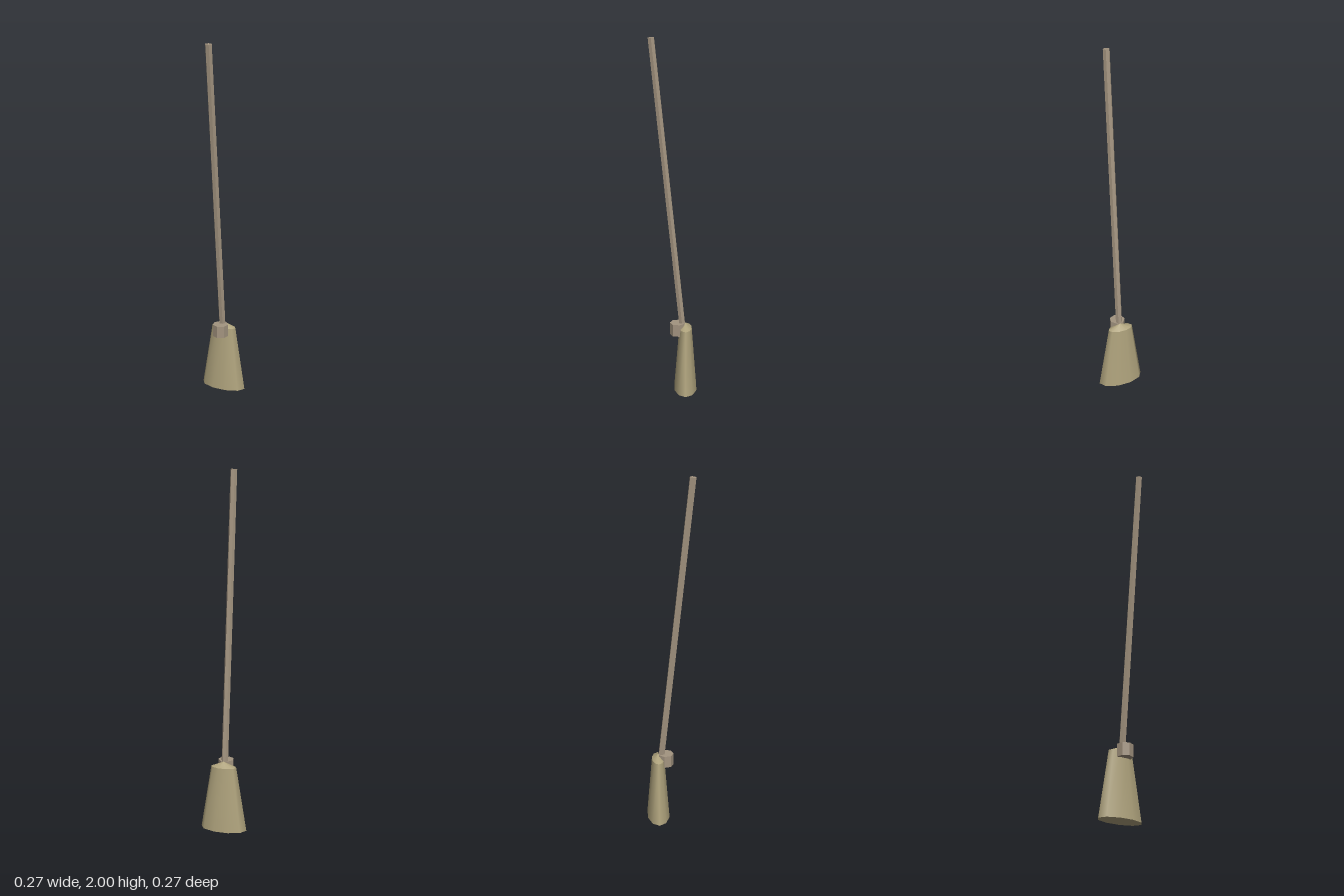
import * as THREE from 'three';

const brush = new THREE.MeshStandardMaterial({ color: 0xaea27c });
const wood = new THREE.MeshStandardMaterial({ color: 0xa39480, flatShading: true });

function part(name, geometry, material, parent) {
  const mesh = new THREE.Mesh(geometry, material);
  mesh.name = name;
  parent.add(mesh);
  return mesh;
}

export function createModel() {
  const model = new THREE.Group();
  model.name = 'broom';

  // Bristle head: ten-sided, flattened front to back, with a low pointed top
  const head = new THREE.Group();
  head.name = 'bristleHead';
  const bodyHeight = 0.37, peakHeight = 0.03, topRadius = 0.073;
  const body = new THREE.CylinderGeometry(topRadius, 0.133, bodyHeight, 10, 1, false, Math.PI / 2);
  part('bristles', body.translate(0, bodyHeight / 2, 0), brush, head);
  const peak = new THREE.ConeGeometry(topRadius, peakHeight, 10, 1, true, Math.PI / 2);
  part('bristleTop', peak.translate(0, bodyHeight + peakHeight / 2, 0), brush, head);
  head.scale.z = 0.5;
  head.position.z = -0.071;
  model.add(head);

  // Seven-sided collar in front of the head
  part('collar', new THREE.CylinderGeometry(0.044, 0.044, 0.07, 7), wood, model)
    .position.set(0, 0.365, -0.026);

  // Six-sided handle leaning forward
  const foot = new THREE.Vector3(0, 0.33, -0.058);
  const tip = new THREE.Vector3(0, 1.998, 0.116);
  const lean = tip.clone().sub(foot);
  const handle = part('handle',
    new THREE.CylinderGeometry(0.019, 0.019, lean.length(), 6, 1, false, Math.PI / 6), wood, model);
  handle.position.copy(foot).add(tip).multiplyScalar(0.5);
  handle.rotation.x = Math.atan2(lean.z, lean.y);

  return model;
}
